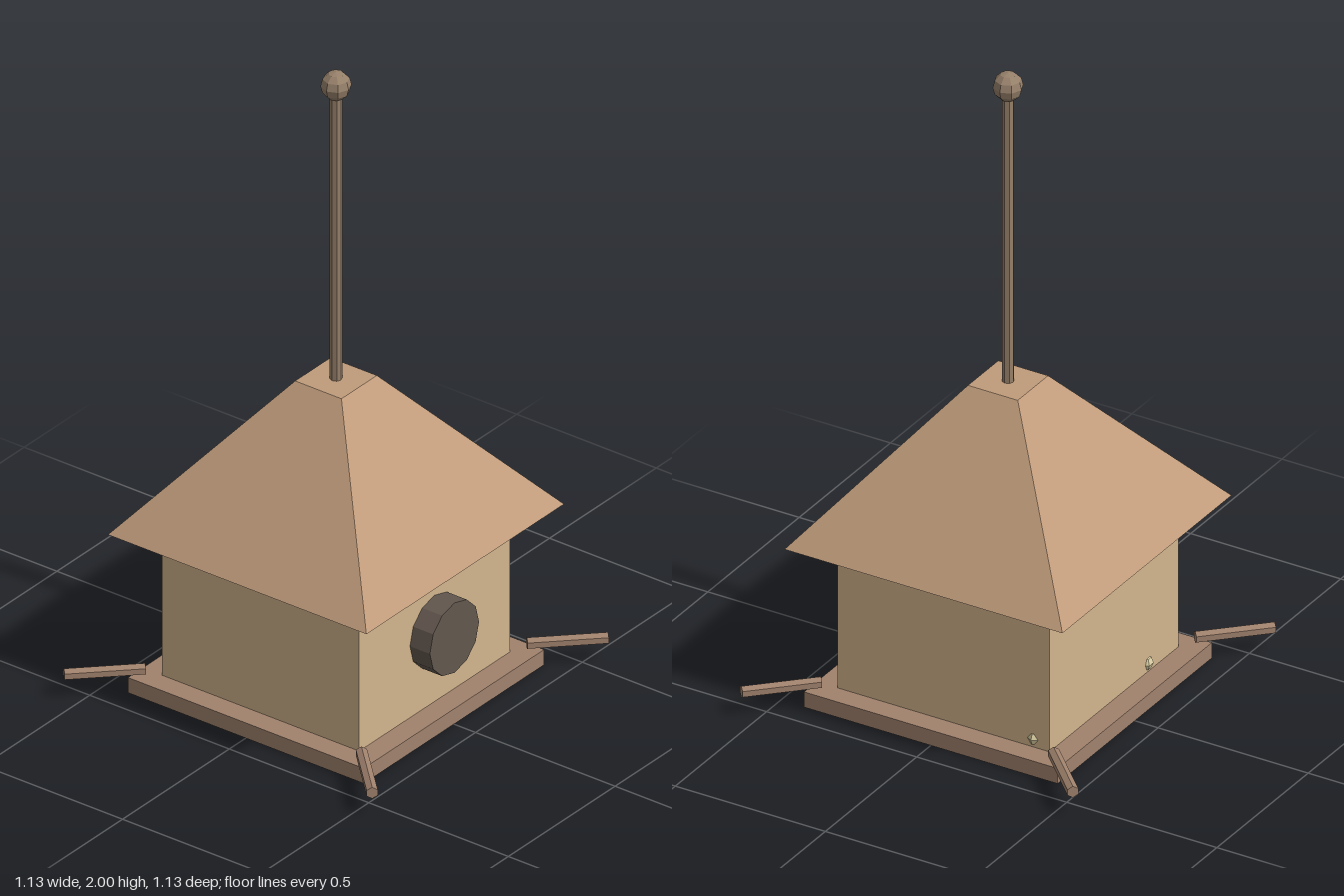
import * as THREE from 'three';

const mat = (color) => new THREE.MeshStandardMaterial({ color, flatShading: true });

export function createModel() {
  const group = new THREE.Group();
  const wood = mat(0xa0826d), wall = mat(0xd2b48c), roofWood = mat(0xc09c7c);
  const poleWood = mat(0x96806a), dark = mat(0x62574e), seedMat = mat(0xdcd0a4);

  const add = (name, geometry, material, x = 0, y = 0, z = 0) => {
    const mesh = new THREE.Mesh(geometry, material);
    mesh.name = name;
    mesh.position.set(x, y, z);
    group.add(mesh);
    return mesh;
  };

  // Floor tray and box-shaped house
  add('base', new THREE.BoxGeometry(0.845, 0.05, 0.845), wood, 0, 0.025, 0);
  add('walls', new THREE.BoxGeometry(0.706, 0.475, 0.706), wall, 0, 0.2875, 0);

  // Truncated pyramid roof
  const roof = new THREE.CylinderGeometry(0.083 * Math.SQRT2, 0.463 * Math.SQRT2, 0.465, 4);
  roof.rotateY(Math.PI / 4);
  add('roof', roof, roofWood, 0, 0.7575, 0);

  // Round entrance on the front wall
  const entrance = new THREE.CylinderGeometry(0.115, 0.115, 0.075, 12);
  entrance.rotateX(Math.PI / 2);
  add('entrance', entrance, dark, 0, 0.285, 0.387);

  // Hanging pole and ball finial
  add('pole', new THREE.CylinderGeometry(0.018, 0.018, 0.97, 8), poleWood, 0, 1.455, 0);
  add('finial', new THREE.SphereGeometry(0.045, 8, 6), poleWood, 0, 1.955, 0);

  // Perches pointing out from the four corners
  const perch = new THREE.CylinderGeometry(0.0185, 0.0185, 0.233, 6);
  perch.rotateX(Math.PI / 2);
  for (let i = 0; i < 4; i++) {
    const angle = Math.PI / 4 + i * Math.PI / 2;
    const r = 0.47 * Math.SQRT2;
    add('perch', perch, wood, r * Math.sin(angle), 0.075, r * Math.cos(angle)).rotation.y = angle;
  }

  // Seeds poking out at the foot of the walls
  const seed = new THREE.SphereGeometry(0.024, 6, 4);
  for (const [x, z] of [[0.339, -0.297], [-0.19, -0.342]]) add('seed', seed, seedMat, x, 0.075, z);

  return group;
}
